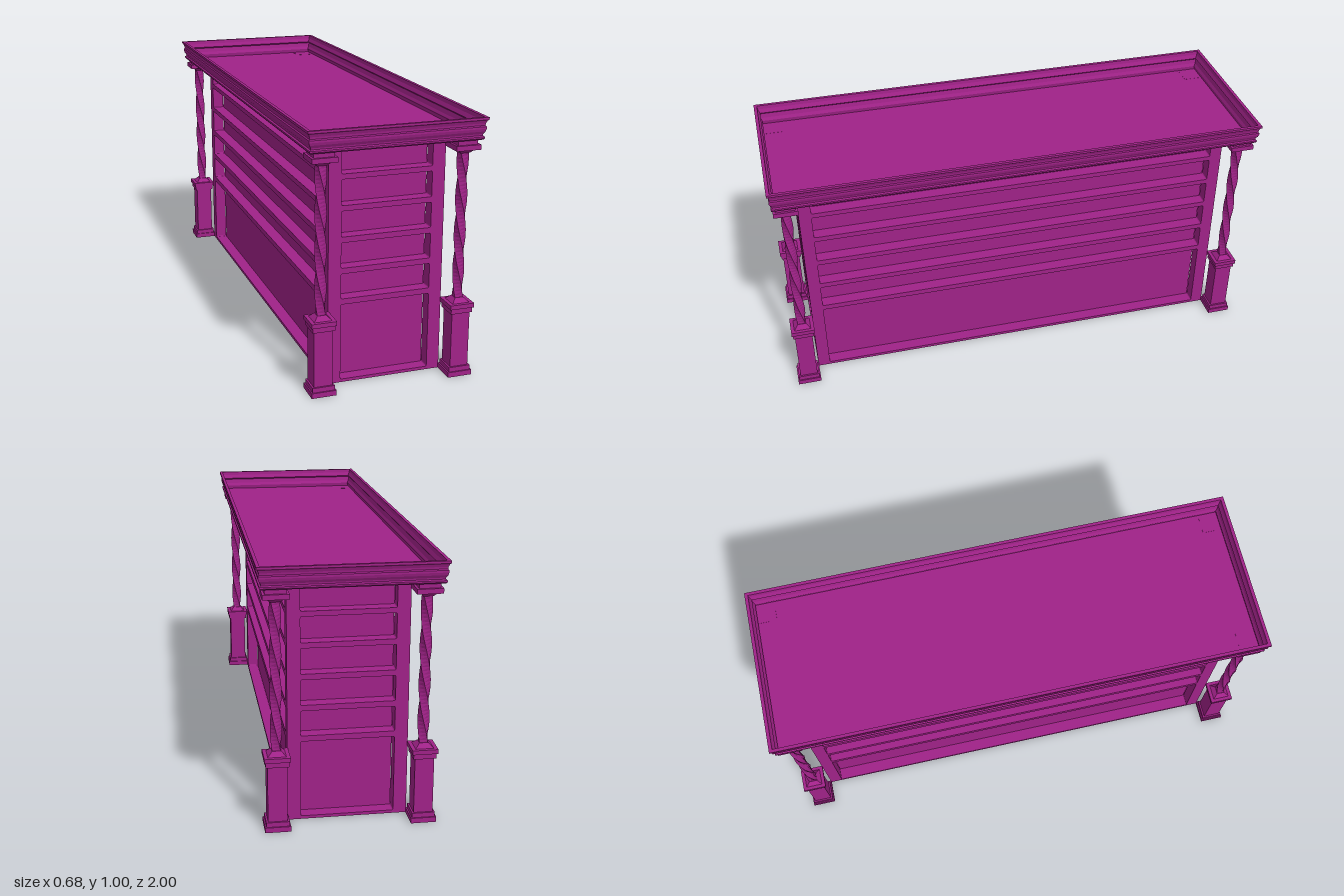
import * as THREE from 'three';

const material = new THREE.MeshStandardMaterial({ color: 0xa02288, side: THREE.DoubleSide, flatShading: true });

function mesh(name, geometry) {
  const m = new THREE.Mesh(geometry, material);
  m.name = name;
  return m;
}

// Skin over a stack of concentric rectangles, each [halfX, halfZ, y]
function rectLoft(rings) {
  const signs = [[-1, 1], [1, 1], [1, -1], [-1, -1]];
  const pos = [];
  const corner = (r, k) => [signs[k % 4][0] * r[0], r[2], signs[k % 4][1] * r[1]];
  for (let i = 0; i < rings.length - 1; i++) {
    for (let k = 0; k < 4; k++) {
      const a = corner(rings[i], k), b = corner(rings[i], k + 1);
      const c = corner(rings[i + 1], k + 1), d = corner(rings[i + 1], k);
      pos.push(...a, ...b, ...c, ...a, ...c, ...d);
    }
  }
  const g = new THREE.BufferGeometry();
  g.setAttribute('position', new THREE.Float32BufferAttribute(pos, 3));
  g.computeVertexNormals();
  return g;
}

const squareLoft = (profile) => rectLoft(profile.map(([h, y]) => [h, h, y]));

// Bottom and top of each shelf opening
const OPENINGS = [[0.012, 0.313], [0.335, 0.433], [0.455, 0.553], [0.575, 0.673], [0.694, 0.792], [0.812, 0.911]];
const HX = 0.226, HZ = 0.89, DEPTH = 0.05, TOP = 0.922;

// Framed face with rounded shelf openings
function shelfFace(half) {
  const s = new THREE.Shape();
  s.moveTo(-half, 0).lineTo(half, 0).lineTo(half, TOP).lineTo(-half, TOP).closePath();
  const w = half - DEPTH, r = 0.006;
  for (const [y0, y1] of OPENINGS) {
    const h = new THREE.Path();
    h.moveTo(-w + r, y0);
    h.lineTo(w - r, y0).quadraticCurveTo(w, y0, w, y0 + r);
    h.lineTo(w, y1 - r).quadraticCurveTo(w, y1, w - r, y1);
    h.lineTo(-w + r, y1).quadraticCurveTo(-w, y1, -w, y1 - r);
    h.lineTo(-w, y0 + r).quadraticCurveTo(-w, y0, -w + r, y0);
    s.holes.push(h);
  }
  return new THREE.ExtrudeGeometry(s, { depth: DEPTH, bevelEnabled: false, curveSegments: 3 });
}

// Square bar twisted one full turn along its height
function twistedShaft(y0, y1) {
  const h = y1 - y0;
  const g = new THREE.BoxGeometry(0.031, h, 0.031, 1, 40, 1);
  const p = g.attributes.position, v = new THREE.Vector3();
  const up = new THREE.Vector3(0, 1, 0);
  for (let i = 0; i < p.count; i++) {
    v.fromBufferAttribute(p, i);
    v.applyAxisAngle(up, -(v.y / h) * Math.PI * 2);
    p.setXYZ(i, v.x, v.y + (y0 + y1) / 2, v.z);
  }
  g.computeVertexNormals();
  return g;
}

function createColumn() {
  const column = new THREE.Group();
  column.name = 'column';
  column.add(mesh('pedestal', squareLoft([
    [0, 0.015], [0.03, 0.015], [0.03, 0], [0.048, 0], [0.048, 0.02], [0.043, 0.02], [0.043, 0.038],
    [0.036, 0.038], [0.036, 0.255], [0.043, 0.255], [0.043, 0.275], [0.048, 0.275], [0.048, 0.292],
    [0.034, 0.292], [0.017, 0.309], [0, 0.309],
  ])));
  column.add(mesh('shaft', twistedShaft(0.305, 0.872)));
  column.add(mesh('capital', squareLoft([
    [0, 0.868], [0.018, 0.868], [0.033, 0.884], [0.048, 0.884], [0.048, 0.903],
    [0.039, 0.903], [0.039, TOP + 0.001], [0, TOP + 0.001],
  ])));
  return column;
}

export function createModel() {
  const model = new THREE.Group();
  model.name = 'doubleSidedBookcase';

  // Cabinet: hollow core open below, wrapped by four shelf faces
  const cabinet = new THREE.Group();
  cabinet.name = 'cabinet';
  const bx = HX - DEPTH - 0.001, bz = HZ - DEPTH - 0.001;
  cabinet.add(mesh('backPanels', rectLoft([[bx, bz, 0], [bx, bz, TOP]])));
  const endFace = shelfFace(HX), sideFace = shelfFace(HZ);
  for (let i = 0; i < 4; i++) {
    const end = i % 2 === 0;
    const face = mesh(end ? 'endShelves' : 'sideShelves', end ? endFace : sideFace);
    const angle = i * Math.PI / 2, d = (end ? HZ : HX) - DEPTH;
    face.rotation.y = angle;
    face.position.set(Math.sin(angle) * d, 0, Math.cos(angle) * d);
    cabinet.add(face);
  }
  model.add(cabinet);

  // Corner columns
  for (const x of [-0.272, 0.272]) {
    for (const z of [-0.937, 0.937]) {
      const column = createColumn();
      column.position.set(x, 0, z);
      model.add(column);
    }
  }

  // Cornice: moulded rim around a sunken top, as [inset, y]
  const outer = [[0.34, 0.921], [0.014, 0.921], [0.01, 0.926], [0.01, 0.932], [0.016, 0.936], [0.015, 0.942],
    [0.009, 0.952], [0.006, 0.962], [0.006, 0.97], [0.01, 0.974], [0.009, 0.982], [0.005, 0.992],
    [0, 0.996], [0, 1.005]];
  const inner = [[0.013, 1.005], [0.015, 0.99], [0.022, 0.974], [0.017, 0.968], [0.021, 0.95],
    [0.027, 0.938], [0.024, 0.9225], [0.34, 0.9225]];
  model.add(mesh('cornice', rectLoft([...outer, ...inner].map(([d, y]) => [0.34 - d, 1 - d, y]))));

  return model;
}
